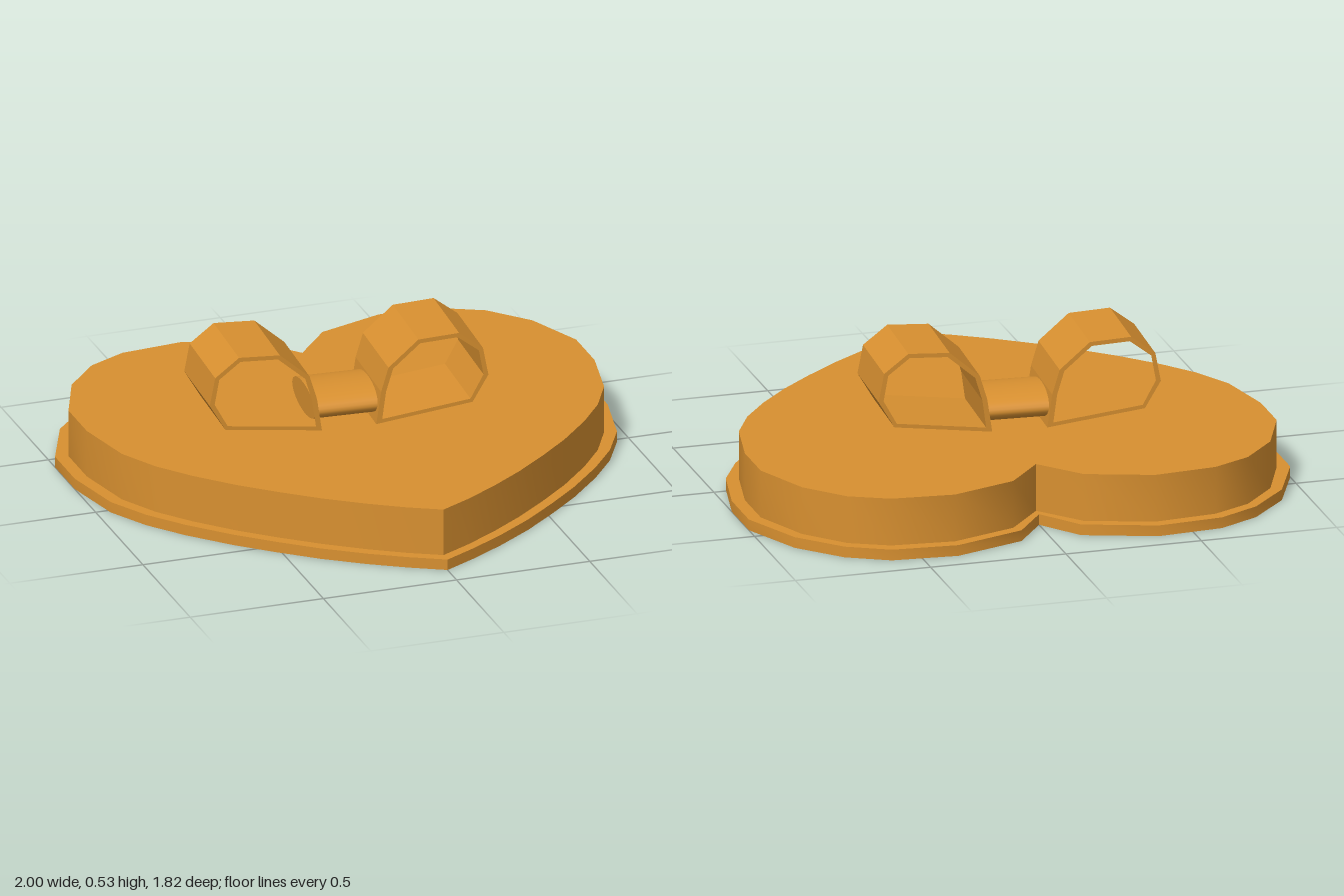
import * as THREE from 'three';
import { toCreasedNormals } from 'three/addons/utils/BufferGeometryUtils.js';

const material = new THREE.MeshStandardMaterial({ color: 0xd89030 });

// Right half of each heart outline as [x, z], from the notch to the tip
const baseHalf = [[0, -0.67], [0.11, -0.82], [0.37, -0.91], [0.61, -0.89], [0.76, -0.81], [0.9, -0.66],
  [1, -0.43], [1, -0.22], [0.95, 0.02], [0.87, 0.17], [0.77, 0.3], [0.64, 0.44], [0.52, 0.55],
  [0.39, 0.66], [0.25, 0.76], [0.12, 0.84], [0, 0.905]];
const lidHalf = [[0, -0.632], [0.13, -0.785], [0.37, -0.867], [0.6, -0.845], [0.74, -0.775], [0.865, -0.635],
  [0.953, -0.42], [0.953, -0.225], [0.905, 0.01], [0.83, 0.155], [0.735, 0.28], [0.615, 0.41], [0.495, 0.52],
  [0.37, 0.625], [0.24, 0.72], [0.115, 0.8], [0, 0.862]];

function addMesh(parent, name, geometry) {
  const mesh = new THREE.Mesh(geometry, material);
  mesh.name = name;
  parent.add(mesh);
  return mesh;
}

// Mirrored heart outline extruded upwards between two heights
function heartSlab(half, y0, y1) {
  const mirrored = half.slice(1, -1).reverse().map(([x, z]) => [-x, z]);
  const shape = new THREE.Shape([...half, ...mirrored].map(([x, z]) => new THREE.Vector2(x, -z)));
  const geometry = new THREE.ExtrudeGeometry(shape, { depth: y1 - y0, bevelEnabled: false });
  geometry.rotateX(-Math.PI / 2).translate(0, y0, 0);
  return toCreasedNormals(geometry, 0.7);
}

// Faceted hollow ribbon loop; side is +1 or -1
function ribbonLoop(side) {
  const outer = [[0.1, 0.218], [0.455, 0.262], [0.513, 0.36], [0.493, 0.465],
    [0.405, 0.533], [0.255, 0.525], [0.145, 0.43], [0.118, 0.34]];
  const inner = [[0.122, 0.235], [0.447, 0.275], [0.495, 0.363], [0.478, 0.457],
    [0.4, 0.517], [0.262, 0.51], [0.162, 0.424], [0.136, 0.338]];
  const toPoints = (list) => list.map(([x, y]) => new THREE.Vector2(x * side, y));
  const shape = new THREE.Shape(toPoints(outer));
  shape.holes.push(new THREE.Path(toPoints(inner)));
  return new THREE.ExtrudeGeometry(shape, { depth: 0.326, bevelEnabled: false }).translate(0, 0, -0.163);
}

export function createModel() {
  const model = new THREE.Group();
  model.name = 'heartBox';

  // Box body
  addMesh(model, 'baseRim', heartSlab(baseHalf, 0, 0.04));
  addMesh(model, 'lid', heartSlab(lidHalf, 0.04, 0.215));

  // Bow, set slightly askew on the lid
  const bow = new THREE.Group();
  bow.name = 'bow';
  bow.position.set(-0.06, 0, -0.103);
  bow.rotation.y = -0.06;
  model.add(bow);
  addMesh(bow, 'leftLoop', ribbonLoop(1));
  addMesh(bow, 'rightLoop', ribbonLoop(-1));

  // Knot: oval barrel lying across the bow
  const knot = new THREE.CylinderGeometry(1, 1, 0.24, 32).rotateZ(Math.PI / 2);
  knot.scale(1, 0.055, 0.147).translate(0, 0.28, 0);
  addMesh(bow, 'knot', knot);

  return model;
}
